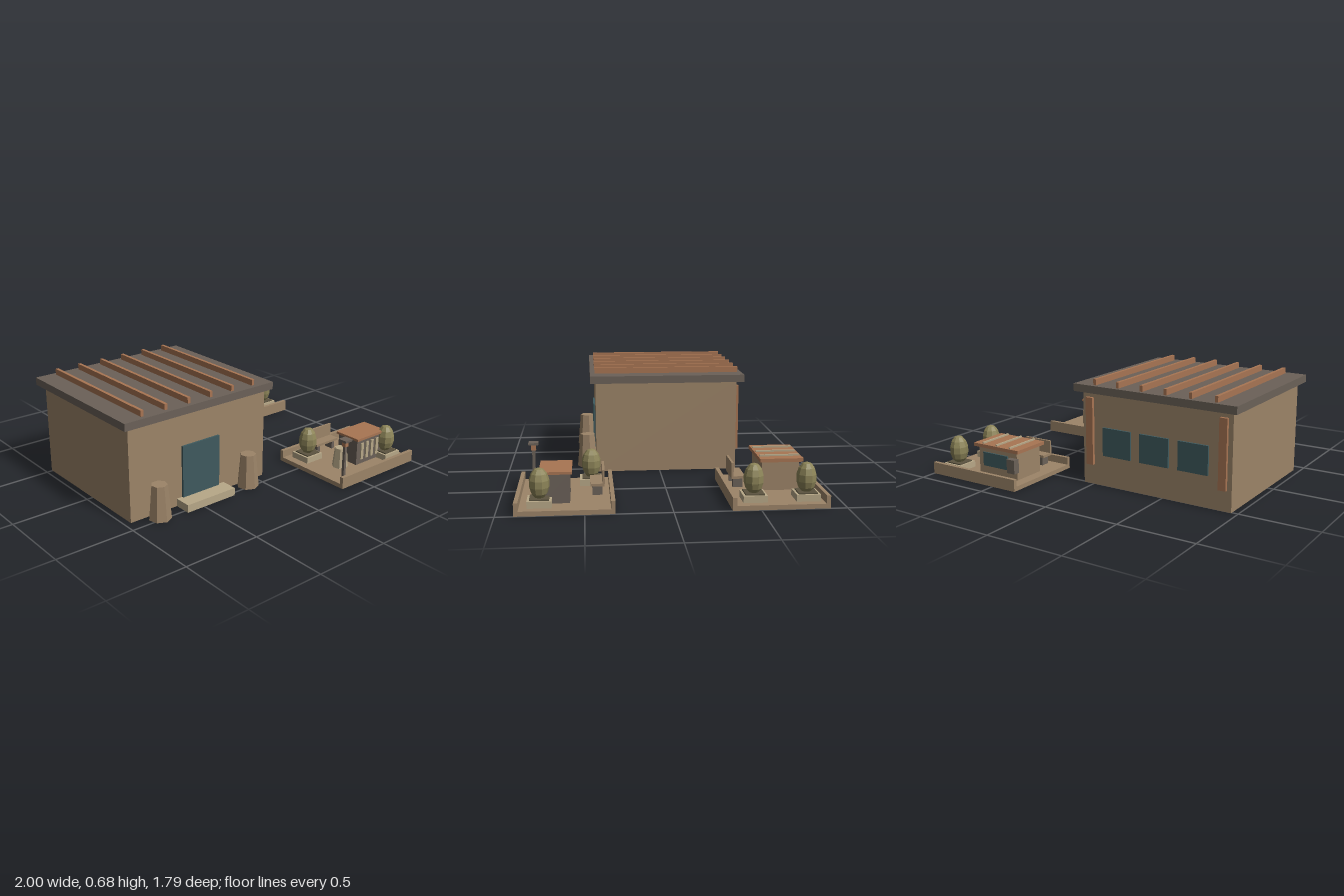
import * as THREE from 'three';

const mat = (color) => new THREE.MeshStandardMaterial({ color, flatShading: true });

export function createModel() {
  const root = new THREE.Group();
  const clay = mat(0x9c8468), slate = mat(0x6b6158), copper = mat(0xa87553);
  const glass = mat(0x3f5a5e), sand = mat(0xb8a888), leaf = mat(0x8c8458);
  const soil = mat(0x5c5440);

  const add = (parent, name, geometry, material, x, y, z) => {
    const mesh = new THREE.Mesh(geometry, material);
    mesh.name = name;
    mesh.position.set(x, y, z);
    parent.add(mesh);
    return mesh;
  };
  // Box given by its bounds on each axis
  const box = (parent, name, m, x0, x1, y0, y1, z0, z1) =>
    add(parent, name, new THREE.BoxGeometry(x1 - x0, y1 - y0, z1 - z0), m,
      (x0 + x1) / 2, (y0 + y1) / 2, (z0 + z1) / 2);
  const group = (name) => {
    const g = new THREE.Group();
    g.name = name;
    root.add(g);
    return g;
  };

  // Main hall
  const hall = group('mainHall');
  box(hall, 'walls', clay, -0.96, 0.07, 0, 0.6, -0.51, 0.42);
  box(hall, 'roof', slate, -1, 0.11, 0.595, 0.643, -0.555, 0.455);
  for (let i = 0; i < 6; i++) {
    const x = -0.86 + i * 0.166;
    box(hall, 'roofBeam', copper, x - 0.01, x + 0.01, 0.643, 0.68, -0.53, 0.425);
  }
  box(hall, 'door', glass, -0.585, -0.305, 0.04, 0.385, 0.41, 0.433);
  box(hall, 'doorStep', sand, -0.625, -0.26, 0, 0.05, 0.4, 0.53);
  for (const x of [-0.79, -0.105])
    add(hall, 'taperedPillar', new THREE.CylinderGeometry(0.05, 0.07, 0.22, 7), clay, x, 0.11, 0.475);
  for (const x of [-0.18, -0.445, -0.71])
    box(hall, 'backWindow', glass, x - 0.1, x + 0.1, 0.2, 0.38, -0.523, -0.5);
  for (const x of [0.015, -0.905])
    box(hall, 'backPost', copper, x - 0.025, x + 0.025, 0.13, 0.56, -0.53, -0.5);

  // Paved courtyard with a low wall along its front and back
  const courtyard = (name, z0, z1) => {
    const g = group(name);
    box(g, 'paving', clay, 0.32, 1, 0, 0.028, z0, z1);
    box(g, 'lowWall', clay, 0.32, 1, 0.028, 0.076, z0, z0 + 0.024);
    box(g, 'lowWall', clay, 0.32, 1, 0.028, 0.076, z1 - 0.024, z1);
    return g;
  };
  // Square planter with an egg-shaped shrub
  const shrub = (g, x, z) => {
    box(g, 'planter', sand, x - 0.07, x + 0.07, 0.028, 0.068, z - 0.07, z + 0.07);
    box(g, 'soil', soil, x - 0.056, x + 0.056, 0.06, 0.075, z - 0.056, z + 0.056);
    add(g, 'shrub', new THREE.SphereGeometry(1, 9, 7), leaf, x, 0.155, z).scale.set(0.06, 0.093, 0.06);
  };
  // Bench; side is the z direction of its backrest
  const bench = (g, x, z, side) => {
    const b = new THREE.Group();
    b.name = 'bench';
    b.position.set(x, 0, z);
    b.scale.z = 1;
    box(b, 'seat', clay, -0.102, 0.102, 0.085, 0.101, -0.042, 0.042);
    const back = side * 0.036;
    box(b, 'backrest', clay, -0.102, 0.102, 0.1, 0.185, back - 0.007, back + 0.007);
    for (const lx of [-0.07, 0.07])
      box(b, 'benchLeg', slate, lx - 0.012, lx + 0.012, 0.028, 0.086, -0.03, 0.03);
    g.add(b);
  };

  // Back courtyard with the battened kiosk
  const rear = courtyard('backCourtyard', -0.9, -0.335);
  shrub(rear, 0.88, -0.785);
  shrub(rear, 0.88, -0.475);
  bench(rear, 0.533, -0.43, 1);
  box(rear, 'kioskWalls', clay, 0.39, 0.7, 0.028, 0.208, -0.785, -0.56);
  box(rear, 'kioskRoof', copper, 0.365, 0.727, 0.207, 0.229, -0.805, -0.543);
  for (const x of [0.438, 0.548, 0.658])
    box(rear, 'roofBatten', sand, x - 0.006, x + 0.006, 0.229, 0.239, -0.795, -0.55);
  box(rear, 'kioskWindow', glass, 0.46, 0.66, 0.085, 0.175, -0.795, -0.78);
  box(rear, 'vent', slate, 0.38, 0.44, 0.08, 0.17, -0.825, -0.78);

  // Front courtyard with the slatted kiosk
  const fore = courtyard('frontCourtyard', 0.328, 0.895);
  shrub(fore, 0.445, 0.457);
  shrub(fore, 0.88, 0.755);
  bench(fore, 0.627, 0.424, -1);
  box(fore, 'kioskWalls', slate, 0.61, 0.86, 0.028, 0.202, 0.583, 0.745);
  box(fore, 'kioskRoof', copper, 0.6, 0.872, 0.2, 0.216, 0.57, 0.758);
  for (let i = 0; i < 4; i++) {
    const x = 0.657 + i * 0.048;
    box(fore, 'kioskSlat', sand, x - 0.012, x + 0.012, 0.06, 0.175, 0.74, 0.753);
  }
  add(fore, 'urn', new THREE.CylinderGeometry(0.04, 0.053, 0.132, 7), sand, 0.52, 0.094, 0.685);

  // Lamp post
  box(fore, 'lampPole', slate, 0.41, 0.428, 0.028, 0.245, 0.8, 0.818);
  box(fore, 'lampHead', copper, 0.404, 0.434, 0.238, 0.275, 0.794, 0.824);
  box(fore, 'lampCap', slate, 0.389, 0.449, 0.273, 0.288, 0.779, 0.839);

  return root;
}
